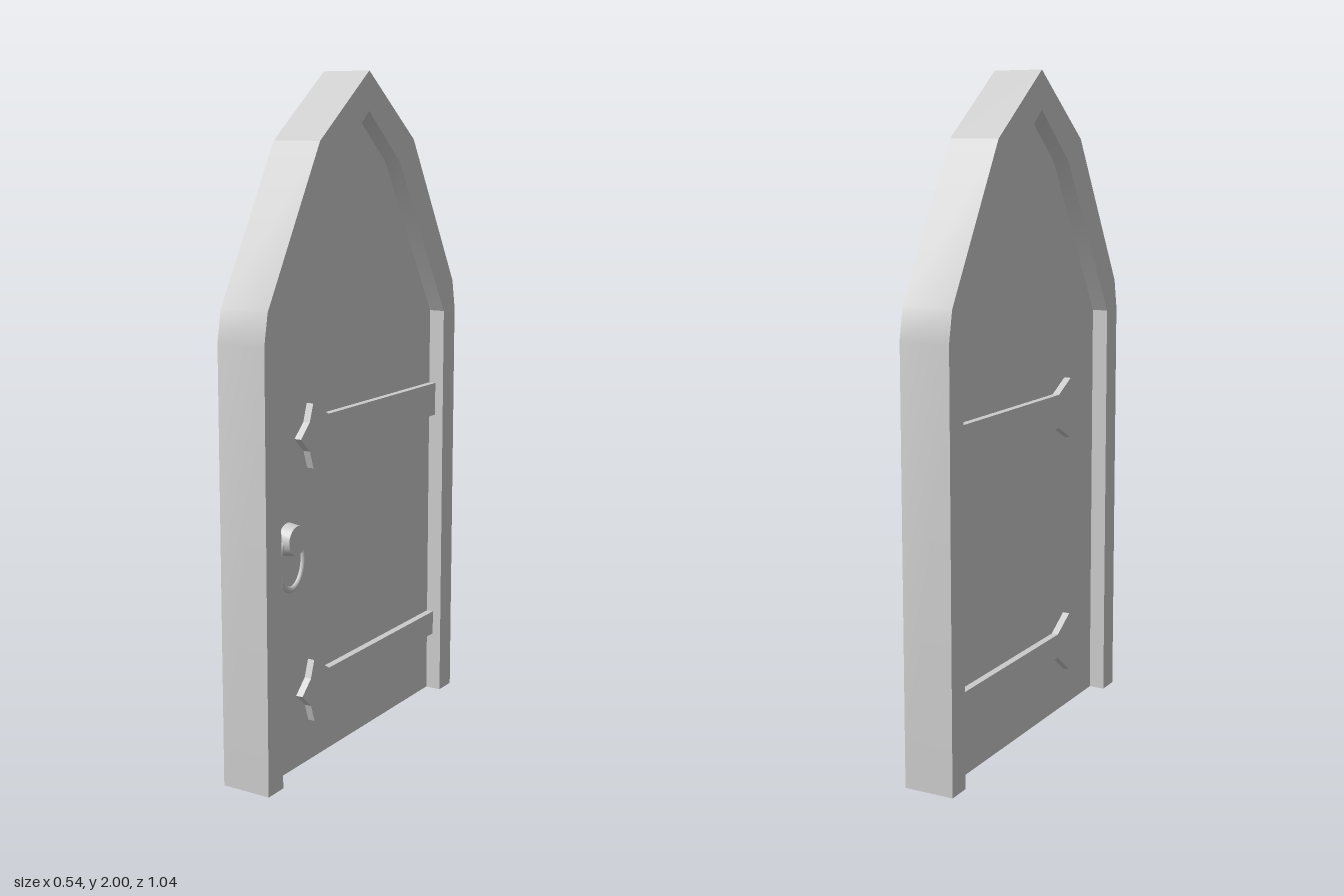
import * as THREE from 'three';
import { toCreasedNormals } from 'three/addons/utils/BufferGeometryUtils.js';

const FRAME_HALF = 0.077; // half thickness of the frame
const PANEL_HALF = 0.027; // half thickness of the recessed panel

// Right halves of the pointed arch, from the floor to the apex
const OUTER = [[0.532, 0], [0.532, 1.27], [0.515, 1.36], [0.258, 1.805], [0, 2]];
const INNER = [[0.46, 0], [0.46, 1.266], [0.175, 1.74], [0, 1.887]];

const material = new THREE.MeshStandardMaterial({ color: 0xcccccc });

const mirrored = (half) => [
  ...half,
  ...half.slice(0, -1).reverse().map(([x, y]) => [-x, y]),
];

const toShape = (points) => new THREE.Shape(points.map(([x, y]) => new THREE.Vector2(x, y)));

function slab(shape, z0, z1) {
  const geometry = new THREE.ExtrudeGeometry(shape, { depth: z1 - z0, bevelEnabled: false });
  geometry.translate(0, 0, z0);
  return geometry;
}

function part(name, geometry) {
  const mesh = new THREE.Mesh(geometry, material);
  mesh.name = name;
  return mesh;
}

// Hinge strap with a pointed, flared head towards -x
function strapShape(headY, bottom, top) {
  return toShape([
    [0.46, bottom], [0.46, top], [-0.175, top],
    [-0.255, headY + 0.094], [-0.273, headY + 0.042],
    [-0.318, headY],
    [-0.273, headY - 0.042], [-0.255, headY - 0.094],
    [-0.175, bottom],
  ]);
}

function createHandle() {
  const handle = new THREE.Group();
  handle.name = 'handle';

  // Short round knob standing off the panel
  const knobGeometry = new THREE.CylinderGeometry(0.043, 0.048, 0.035, 24);
  knobGeometry.rotateX(Math.PI / 2);
  const knob = part('handleKnob', knobGeometry);
  knob.position.set(-0.356, 0.698, PANEL_HALF + 0.0175);

  // Oval pull ring hanging behind the knob face
  const ring = part('handleRing', new THREE.TorusGeometry(0.059, 0.007, 8, 36));
  ring.scale.y = 1.4;
  ring.position.set(-0.356, 0.635, PANEL_HALF + 0.012);

  handle.add(knob, ring);
  return handle;
}

export function createModel() {
  const door = new THREE.Group();
  door.name = 'door';

  // Arched frame, open at the floor
  const frameShape = toShape([...mirrored(OUTER), ...mirrored(INNER).reverse()]);
  door.add(part('frame', toCreasedNormals(slab(frameShape, -FRAME_HALF, FRAME_HALF), 0.37)));

  // Recessed panel filling the arch
  door.add(part('panel', slab(toShape(mirrored(INNER)), -PANEL_HALF, PANEL_HALF)));

  // Hinge straps on both faces
  const strapSizes = { upperStrap: [0.98, 0.928, 1.032], lowerStrap: [0.22, 0.19, 0.266] };
  for (const [name, size] of Object.entries(strapSizes)) {
    const shape = strapShape(...size);
    door.add(part(`${name}Front`, slab(shape, PANEL_HALF, PANEL_HALF + 0.022)));
    door.add(part(`${name}Back`, slab(shape, -PANEL_HALF - 0.022, -PANEL_HALF)));
  }

  door.add(createHandle());

  // The door stands swung open
  door.rotation.y = 1.184;

  const model = new THREE.Group();
  model.name = 'archedDoor';
  model.add(door);
  return model;
}
